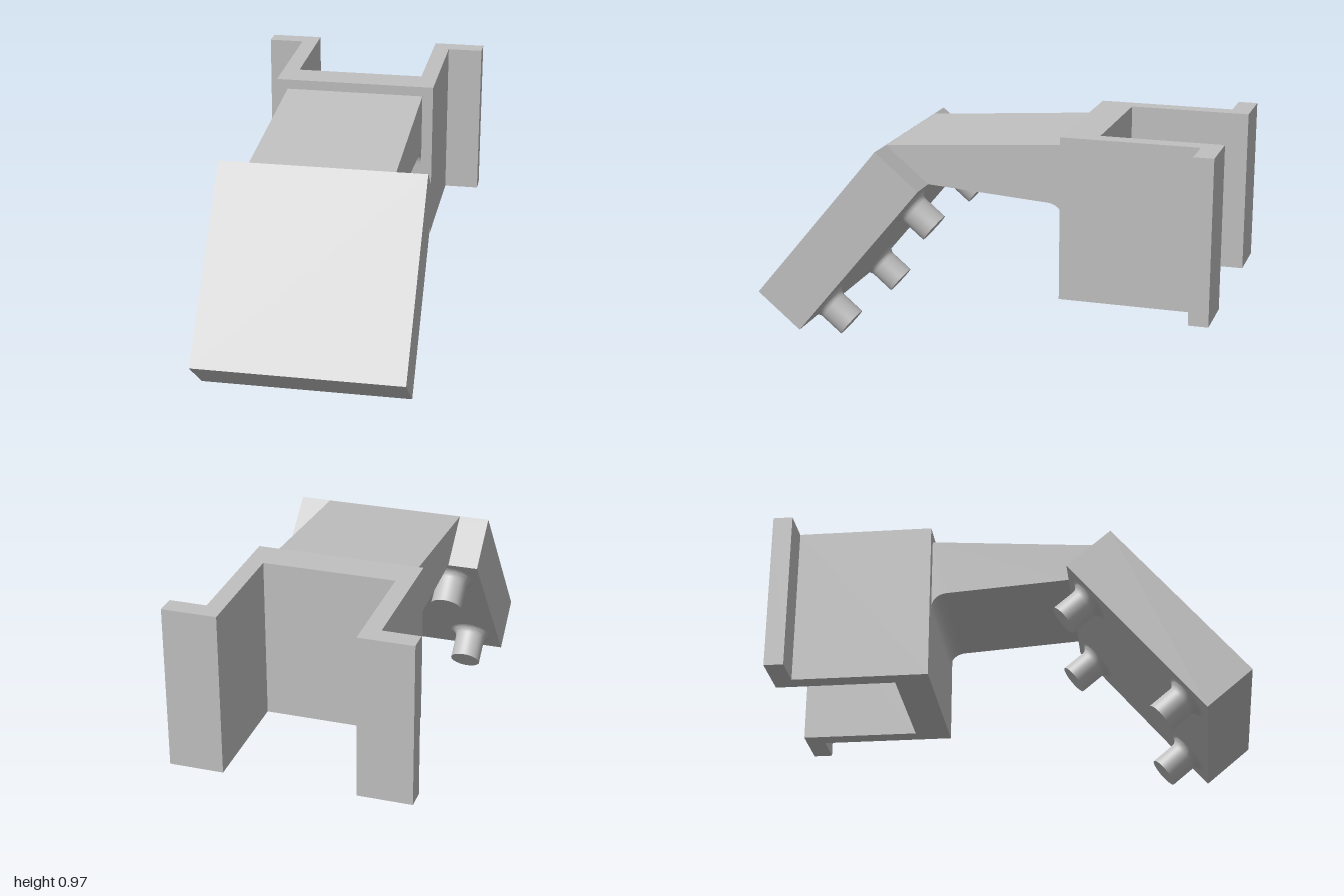
import * as THREE from 'three';
import { toCreasedNormals } from 'three/addons/utils/BufferGeometryUtils.js';

const grey = new THREE.MeshStandardMaterial({ color: 0xc0c0c0 });
grey.name = 'light grey';

function part(name, geometry) {
  const mesh = new THREE.Mesh(geometry, grey);
  mesh.name = name;
  return mesh;
}

export function createModel() {
  const model = new THREE.Group();
  model.name = 'bracketMount';

  // Rear channel with outward flanges: plan outline (x, -z) extruded upwards
  const half = [[0.353, 0.338], [0.353, 0.917], [0.508, 0.917], [0.508, 1], [0.28, 1], [0.28, 0.488]];
  const plan = [...half, ...half.map(([x, y]) => [-x, y]).reverse()];
  const channel = new THREE.ExtrudeGeometry(
    new THREE.Shape(plan.map(([x, y]) => new THREE.Vector2(x, y))),
    { depth: 0.695, bevelEnabled: false }
  );
  channel.rotateX(-Math.PI / 2).translate(0, 0.278, 0);
  model.add(part('rearChannel', channel));

  // Tapered arm with a fillet under its root: side outline (-z, y) extruded across
  const side = new THREE.Shape();
  side.moveTo(-0.441, 0.87);
  side.lineTo(-0.253, 0.714);
  side.lineTo(0.272, 0.678);
  side.bezierCurveTo(0.31, 0.675, 0.338, 0.65, 0.338, 0.61);
  side.lineTo(0.338, 0.93);
  side.closePath();
  const arm = new THREE.ExtrudeGeometry(side, { depth: 0.61, bevelEnabled: false, curveSegments: 10 });
  arm.rotateY(Math.PI / 2).translate(-0.305, 0, 0);
  model.add(part('arm', toCreasedNormals(arm, 0.5)));

  // Tilted block, square on its face
  const head = new THREE.Group();
  head.name = 'tiltedHead';
  head.position.set(0, 0.457, 0.626);
  head.rotation.x = -0.695;
  head.add(part('headBlock', new THREE.BoxGeometry(0.87, 0.873, 0.245)));

  // Four pegs on the rear face, each with a flared foot
  const radius = 0.0675, flare = 0.032, length = 0.141;
  const profile = [];
  for (let i = 0; i <= 6; i++) {
    const a = (i / 6) * Math.PI / 2;
    profile.push(new THREE.Vector2(radius + flare * (1 - Math.sin(a)), flare * (1 - Math.cos(a))));
  }
  profile.push(new THREE.Vector2(radius, length), new THREE.Vector2(0, length));
  const peg = toCreasedNormals(new THREE.LatheGeometry(profile, 40), 0.6);
  peg.rotateX(-Math.PI / 2).translate(0, 0, -0.1225);
  for (const x of [-1, 1]) {
    for (const y of [-1, 1]) {
      const mesh = part(`${y > 0 ? 'upper' : 'lower'}${x > 0 ? 'Left' : 'Right'}Peg`, peg);
      mesh.position.set(x * 0.305, y * 0.305, 0);
      head.add(mesh);
    }
  }
  model.add(head);

  return model;
}
